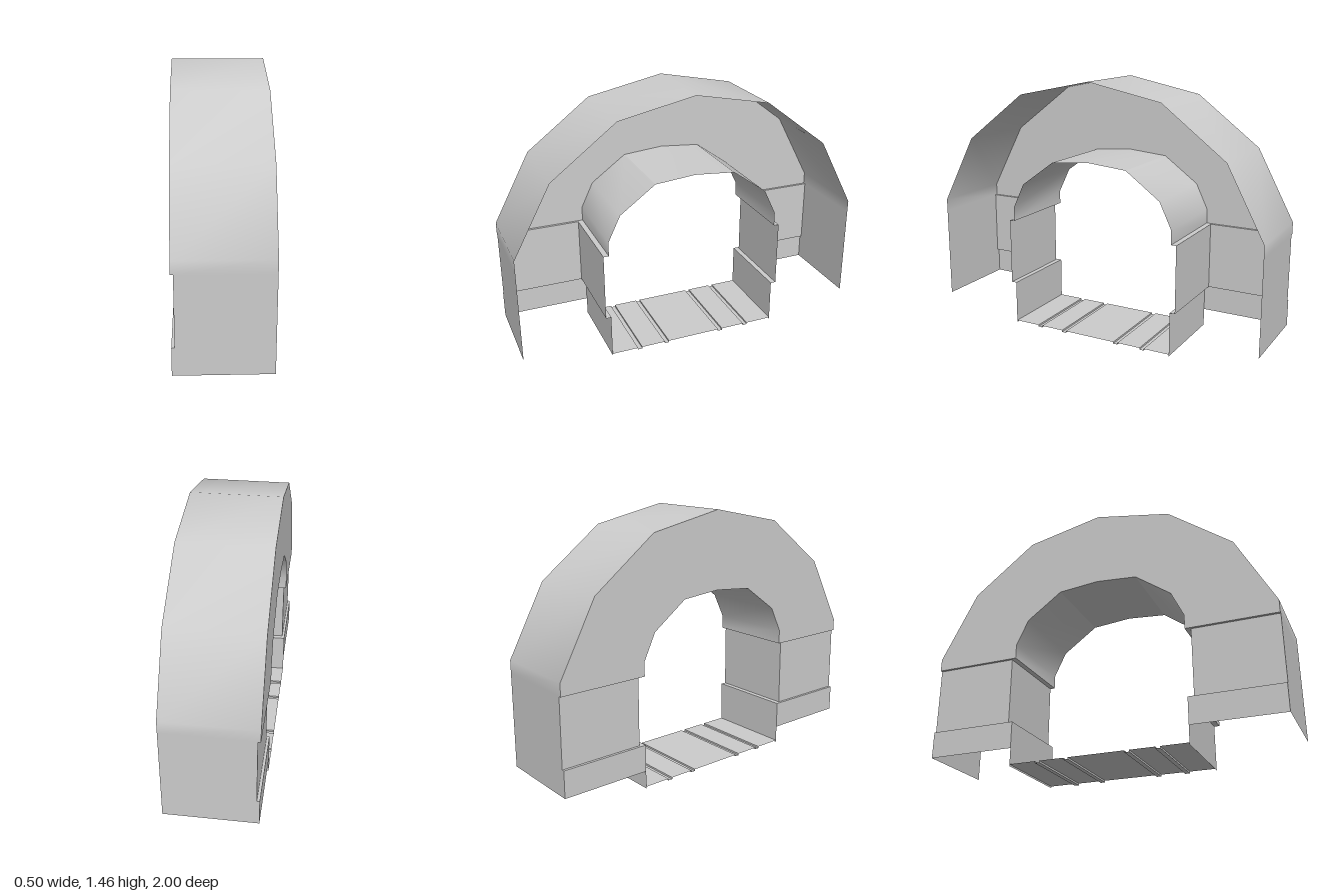
import * as THREE from 'three';
import { toCreasedNormals } from 'three/addons/utils/BufferGeometryUtils.js';

const HALF = 0.25;     // half depth of the arch
const INSET = 0.235;   // recessed face of the leg panels
const stone = new THREE.MeshStandardMaterial({ color: 0xcccccc, side: THREE.DoubleSide });
stone.name = 'light grey stone';

// Surface between two edges with equal point counts; smooth over shallow bends only
function loft(name, a, b) {
  const pos = [];
  for (let i = 0; i < a.length - 1; i++) {
    const j = i + 1;
    if (a[i][1] === a[j][1] && a[i][2] === a[j][2] && b[i].join() === b[j].join()) continue;
    pos.push(...a[i], ...b[i], ...b[j], ...a[i], ...b[j], ...a[j]);
  }
  const geo = new THREE.BufferGeometry();
  geo.setAttribute('position', new THREE.Float32BufferAttribute(pos, 3));
  const mesh = new THREE.Mesh(toCreasedNormals(geo, THREE.MathUtils.degToRad(29.6)), stone);
  mesh.name = name;
  return mesh;
}

const flipZ = (pts) => pts.map(([x, y, z]) => [x, y, -z]);
// Mirror a half edge that ends at z = 0 into a whole one
const whole = (pts) => [...pts, ...flipZ(pts.slice(0, -1)).reverse()];
const rightEdge = (pts) => pts.map(([, y, z]) => [HALF, y, z]);

export function createModel() {
  const group = new THREE.Group();
  group.name = 'archway';

  // Half edges on the walled side, from springing to crown
  const outerArch = [[1, 0.63], [1, 0.7], [0.79, 1.093], [0.43, 1.367], [0, 1.455]]
    .map(([z, y]) => [-HALF, y, z]);
  const innerArch = [[0.5, 0.63], [0.5, 0.71], [0.43, 0.855], [0.23, 1.0], [0, 1.02]]
    .map(([z, y]) => [-HALF, y, z]);

  // Leg edges with the recessed panel
  const innerLeg = [[-HALF, 0.1, 0.5], [-HALF, 0.25, 0.5], [-INSET, 0.25, 0.53],
    [-INSET, 0.63, 0.53], [-HALF, 0.63, 0.5]];
  const outerLeg = innerLeg.map(([x, y]) => [x, y, 1]);

  // Outer shell, inner lining and side wall of the arch
  const outer = whole([...outerLeg, ...outerArch.slice(1)]);
  const inner = whole([[-HALF, 0, 0.5], ...innerLeg.slice(1), ...innerArch.slice(1)]);
  group.add(loft('outerShell', outer, rightEdge(outer)));
  group.add(loft('innerLining', rightEdge(inner), inner));
  group.add(loft('archWall', whole(innerArch), whole(outerArch)));

  // Stepped walls of the two legs
  group.add(loft('frontLegWall', innerLeg, outerLeg));
  group.add(loft('backLegWall', flipZ(outerLeg), flipZ(innerLeg)));

  // Threshold slabs with narrow joints
  const floor = [[-HALF, 0.01, 0.5]];
  for (const z of [0.335, 0.17, -0.17, -0.335]) {
    const w = 0.013;
    floor.push([-HALF, 0.01, z + w], [-HALF, 0, z + w], [-HALF, 0, z - w], [-HALF, 0.01, z - w]);
  }
  floor.push([-HALF, 0.01, -0.5]);
  group.add(loft('threshold', floor, rightEdge(floor)));

  return group;
}
